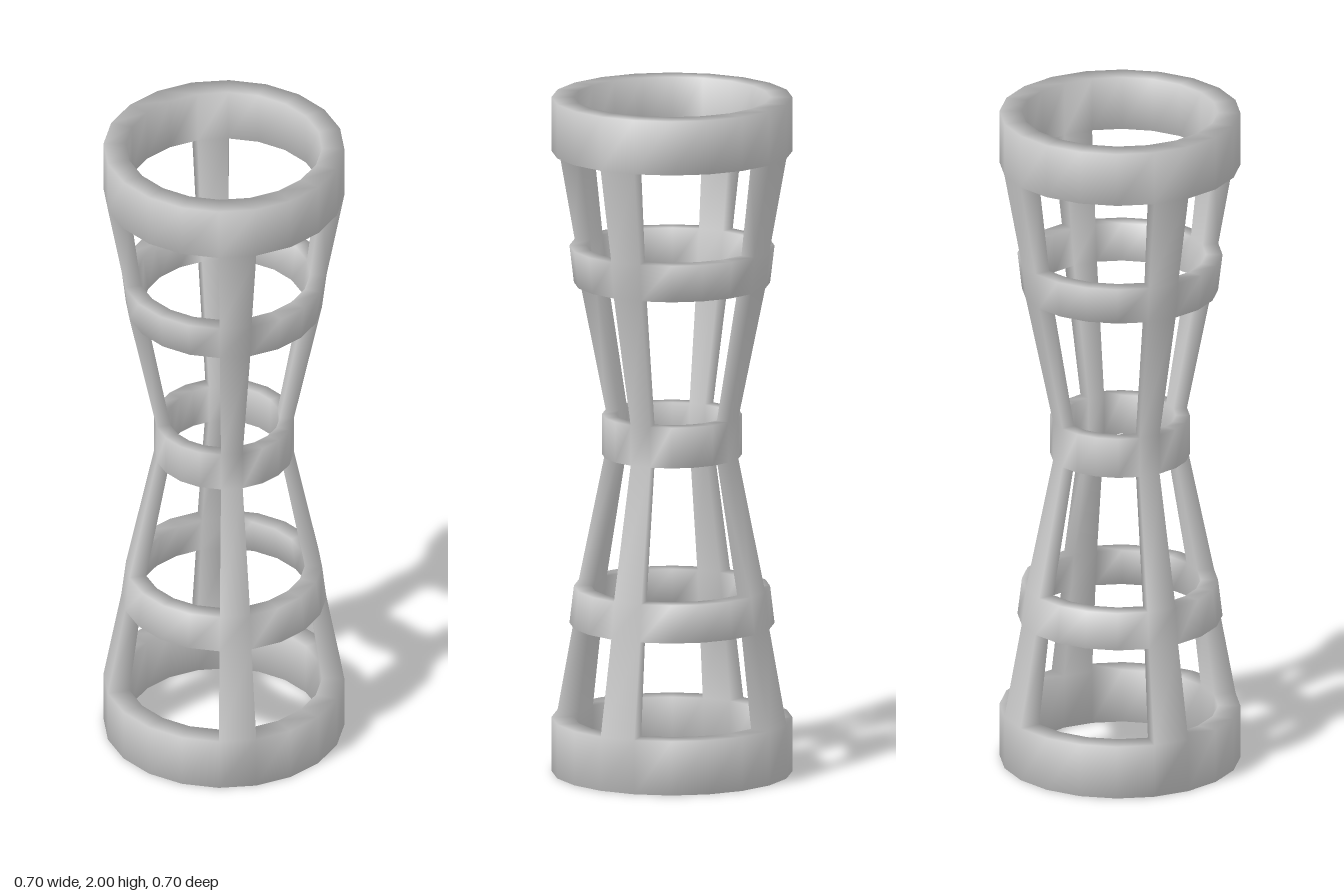
import * as THREE from 'three';

const SIDES = 20;
// Half profile of the frame: [height, outer radius, inner radius], mirrored about y = 1
const upper = [
  [1.06, 0.203, 0.162],
  [1.45, 0.285, 0.235],
  [1.56, 0.298, 0.25],
  [1.84, 0.35, 0.285],
  [2, 0.35, 0.285],
];
const levels = [...upper.map(([y, o, i]) => [2 - y, o, i]).reverse(), ...upper];

// Even bands are full rings; odd bands are open except for four struts
const isSolid = (band, side) =>
  band >= 0 && band < levels.length - 1 && (band % 2 === 0 || side % 5 === 0);

const outer = (level, side) => (level * SIDES + (side % SIDES)) * 2;
const inner = (level, side) => outer(level, side) + 1;

// Faces of one wall cell, with caps only where the neighbour is open
function cellIndices(band, side) {
  const next = side + 1, top = band + 1, out = [];
  const quad = (a, b, c, d) => out.push(a, b, c, a, c, d);
  quad(outer(band, side), outer(band, next), outer(top, next), outer(top, side));
  quad(inner(band, next), inner(band, side), inner(top, side), inner(top, next));
  if (!isSolid(band - 1, side))
    quad(outer(band, side), inner(band, side), inner(band, next), outer(band, next));
  if (!isSolid(band + 1, side))
    quad(outer(top, next), inner(top, next), inner(top, side), outer(top, side));
  if (!isSolid(band, (side + SIDES - 1) % SIDES))
    quad(outer(band, side), outer(top, side), inner(top, side), inner(band, side));
  if (!isSolid(band, next % SIDES))
    quad(outer(band, next), inner(band, next), inner(top, next), outer(top, next));
  return out;
}

export function createModel() {
  const group = new THREE.Group();
  group.name = 'hourglassFrame';
  const material = new THREE.MeshStandardMaterial({ color: 0xcccccc });

  // Shared welded vertices, so shading flows between rings and struts
  const positions = [];
  for (const [y, ro, ri] of levels)
    for (let s = 0; s < SIDES; s++) {
      const a = (s / SIDES) * Math.PI * 2;
      for (const r of [ro, ri]) positions.push(r * Math.sin(a), y, r * Math.cos(a));
    }

  // Sort the cells into parts: five rings and four struts per open band
  const ringNames = ['baseRing', 'lowerRing', 'waistRing', 'upperRing', 'topRing'];
  const sideNames = ['front', 'left', 'back', 'right'];
  const parts = {};
  for (let band = 0; band < levels.length - 1; band++)
    for (let s = 0; s < SIDES; s++) {
      if (!isSolid(band, s)) continue;
      const name = band % 2 === 0 ? ringNames[band / 2] : sideNames[s / 5] + 'Strut';
      (parts[name] ??= []).push(...cellIndices(band, s));
    }

  const whole = new THREE.BufferGeometry();
  whole.setAttribute('position', new THREE.Float32BufferAttribute(positions, 3));
  whole.setIndex(Object.values(parts).flat());
  whole.computeVertexNormals();

  for (const [name, index] of Object.entries(parts)) {
    const geometry = new THREE.BufferGeometry();
    geometry.setAttribute('position', whole.getAttribute('position'));
    geometry.setAttribute('normal', whole.getAttribute('normal'));
    geometry.setIndex(index);
    const mesh = new THREE.Mesh(geometry, material);
    mesh.name = name;
    group.add(mesh);
  }
  return group;
}
